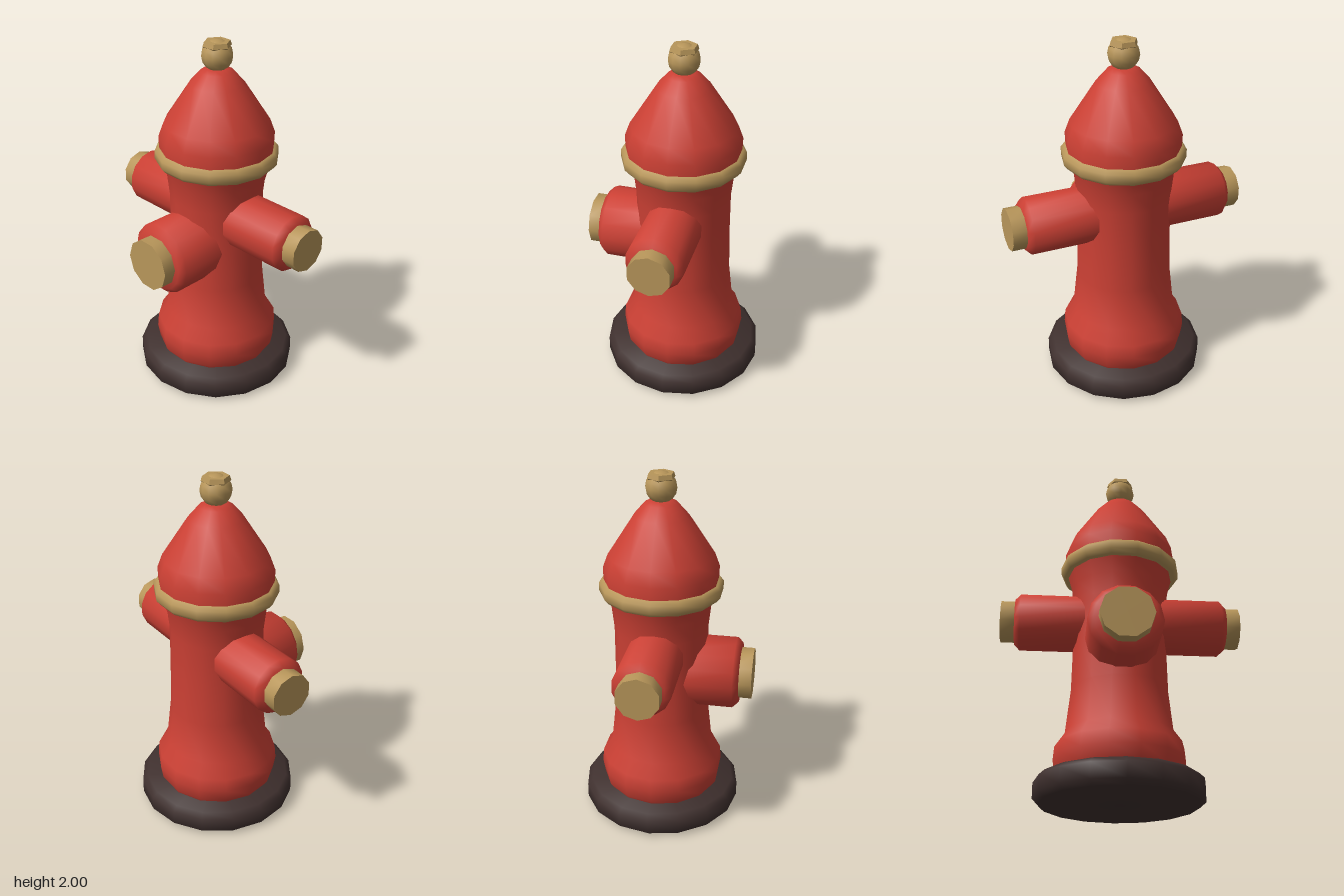
import * as THREE from 'three';
import { toCreasedNormals } from 'three/addons/utils/BufferGeometryUtils.js';

const red = new THREE.MeshStandardMaterial({ color: 0xcb4034 });
const brass = new THREE.MeshStandardMaterial({ color: 0xb8965a });
const dark = new THREE.MeshStandardMaterial({ color: 0x3f302e });

// Turned part: profile of [radius, height] from bottom to top, with a corner on the x axis
function turned(name, material, sides, profile, crease = 0.95) {
  const points = profile.map(([r, y]) => new THREE.Vector2(r, y));
  const geometry = new THREE.LatheGeometry(points, sides, Math.PI / 2);
  const mesh = new THREE.Mesh(toCreasedNormals(geometry, crease), material);
  mesh.name = name;
  return mesh;
}

// Outlet along its own +y: chamfered red pipe with a brass plug
function outlet(name, radius, plugRadius, pipeEnd, plugEnd) {
  const group = new THREE.Group();
  group.name = name;
  group.add(
    turned(name + 'Pipe', red, 14, [
      [0, 0.05], [radius, 0.05], [radius, pipeEnd - 0.03],
      [radius - 0.03, pipeEnd], [0, pipeEnd],
    ]),
    turned(name + 'Plug', brass, 10, [
      [0, pipeEnd - 0.03], [plugRadius, pipeEnd - 0.03],
      [plugRadius, plugEnd], [0, plugEnd],
    ]),
  );
  return group;
}

export function createModel() {
  const model = new THREE.Group();
  model.name = 'fireHydrant';

  // Ground plate
  model.add(turned('basePlate', dark, 16, [
    [0, 0], [0.425, 0], [0.455, 0.028], [0.455, 0.112], [0.425, 0.14], [0, 0.14],
  ]));

  // Barrel with flared foot and neck
  model.add(turned('barrel', red, 14, [
    [0, 0.13], [0.325, 0.13], [0.343, 0.16], [0.355, 0.235], [0.348, 0.31],
    [0.295, 0.385], [0.268, 0.63], [0.262, 0.9], [0.262, 1.12],
    [0.275, 1.24], [0.3, 1.33], [0, 1.33],
  ]));

  // Brass collar under the bonnet
  model.add(turned('collar', brass, 14, [
    [0, 1.322], [0.322, 1.322], [0.34, 1.345], [0.34, 1.388], [0.322, 1.408], [0, 1.408],
  ]));

  // Bonnet
  model.add(turned('bonnet', red, 14, [
    [0, 1.39], [0.313, 1.39], [0.316, 1.475], [0.288, 1.55], [0.148, 1.765],
    [0.09, 1.83], [0.06, 1.846], [0, 1.846],
  ]));

  // Ball finial with the operating nut around its crown
  const ball = new THREE.Mesh(new THREE.SphereGeometry(0.085, 12, 8), brass);
  ball.name = 'finialBall';
  ball.position.y = 1.915;
  model.add(ball);
  model.add(turned('finialNut', brass, 6, [
    [0, 1.945], [0.06, 1.945], [0.078, 1.965], [0.07, 1.99], [0, 1.99],
  ], 0.3));

  // Side outlets, mirrored
  for (const side of [1, -1]) {
    const arm = outlet(side > 0 ? 'leftOutlet' : 'rightOutlet', 0.158, 0.118, 0.592, 0.67);
    arm.position.y = 1.028;
    arm.rotation.z = -side * Math.PI / 2;
    model.add(arm);
  }

  // Larger front outlet, set lower
  const front = outlet('frontOutlet', 0.202, 0.145, 0.452, 0.522);
  front.position.y = 0.868;
  front.rotation.x = Math.PI / 2;
  model.add(front);

  // The barrel axis sits slightly behind centre to balance the front outlet
  for (const part of model.children) part.position.z = -0.035;
  return model;
}
